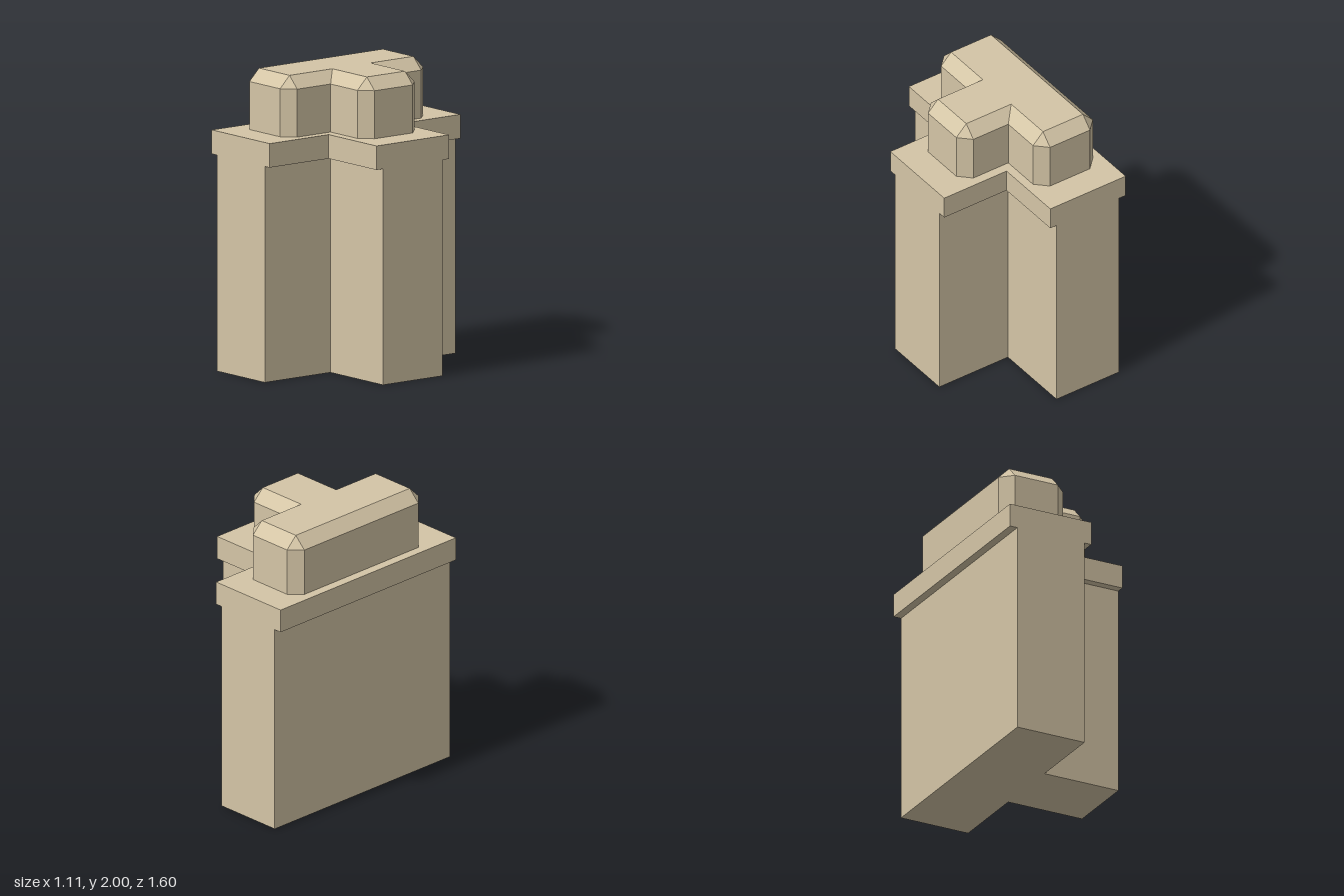
import * as THREE from 'three';

// T-shaped outline, counter-clockwise: bar x0..x1 by +-a, stem x1..x2 by +-b
const tee = (x0, x1, x2, a, b) => [
  [x0, -a], [x1, -a], [x1, -b], [x2, -b], [x2, b], [x1, b], [x1, a], [x0, a],
].map(([x, y]) => new THREE.Vector2(x, y));

// Straight T-shaped block standing between heights y0 and y1
function block(outline, y0, y1) {
  const geo = new THREE.ExtrudeGeometry(new THREE.Shape(outline), { depth: y1 - y0, bevelEnabled: false });
  return geo.rotateX(-Math.PI / 2).translate(0, y0, 0);
}

// Block with chamfered top edges and chamfered outer upright corners
function chamferedBlock(top, c, y0, y1) {
  const n = top.length, pos = [];
  const at = (p, h) => new THREE.Vector3(p.x, h, -p.y);
  const tri = (...pts) => pts.forEach((p) => pos.push(p.x, p.y, p.z));
  const quad = (a, b, d, e) => { tri(a, b, d); tri(a, d, e); };
  const edge = (i) => top[(i + 1) % n].clone().sub(top[i % n]).normalize();

  // Each top corner spreads to two wall corners, or one where it turns inward
  const corners = top.map((p, i) => {
    const e0 = edge(i + n - 1), e1 = edge(i);
    const n0 = new THREE.Vector2(e0.y, -e0.x).multiplyScalar(c);
    const n1 = new THREE.Vector2(e1.y, -e1.x).multiplyScalar(c);
    const convex = e0.cross(e1) > 0;
    const inner = p.clone().add(n0).add(n1);
    return { p, convex, start: convex ? p.clone().add(n0) : inner, end: convex ? p.clone().add(n1) : inner };
  });
  const ym = y1 - c;
  corners.forEach((k, i) => {
    const next = corners[(i + 1) % n];
    quad(at(k.end, y0), at(next.start, y0), at(next.start, ym), at(k.end, ym));
    quad(at(k.end, ym), at(next.start, ym), at(next.p, y1), at(k.p, y1));
    if (k.convex) {
      quad(at(k.start, y0), at(k.end, y0), at(k.end, ym), at(k.start, ym));
      tri(at(k.start, ym), at(k.end, ym), at(k.p, y1));
    }
  });
  // Flat top
  THREE.ShapeUtils.triangulateShape(top, []).forEach((f) => tri(...f.map((i) => at(top[i], y1))));

  const geo = new THREE.BufferGeometry();
  geo.setAttribute('position', new THREE.Float32BufferAttribute(pos, 3));
  geo.computeVertexNormals();
  return geo;
}

export function createModel() {
  const group = new THREE.Group();
  group.name = 'teeBlock';
  const sand = new THREE.MeshStandardMaterial({ color: 0xd4c5a6 });
  sand.name = 'sand';
  const add = (name, geo) => {
    const mesh = new THREE.Mesh(geo, sand);
    mesh.name = name;
    group.add(mesh);
  };
  add('body', block(tee(-0.5, 0, 0.55, 0.8, 0.25), 0, 1.44));
  add('ledge', block(tee(-0.555, 0.05, 0.55, 0.8, 0.305), 1.44, 1.6));
  add('topKnob', chamferedBlock(tee(-0.41, -0.09, 0.27, 0.52, 0.16), 0.08, 1.6, 2));
  return group;
}
